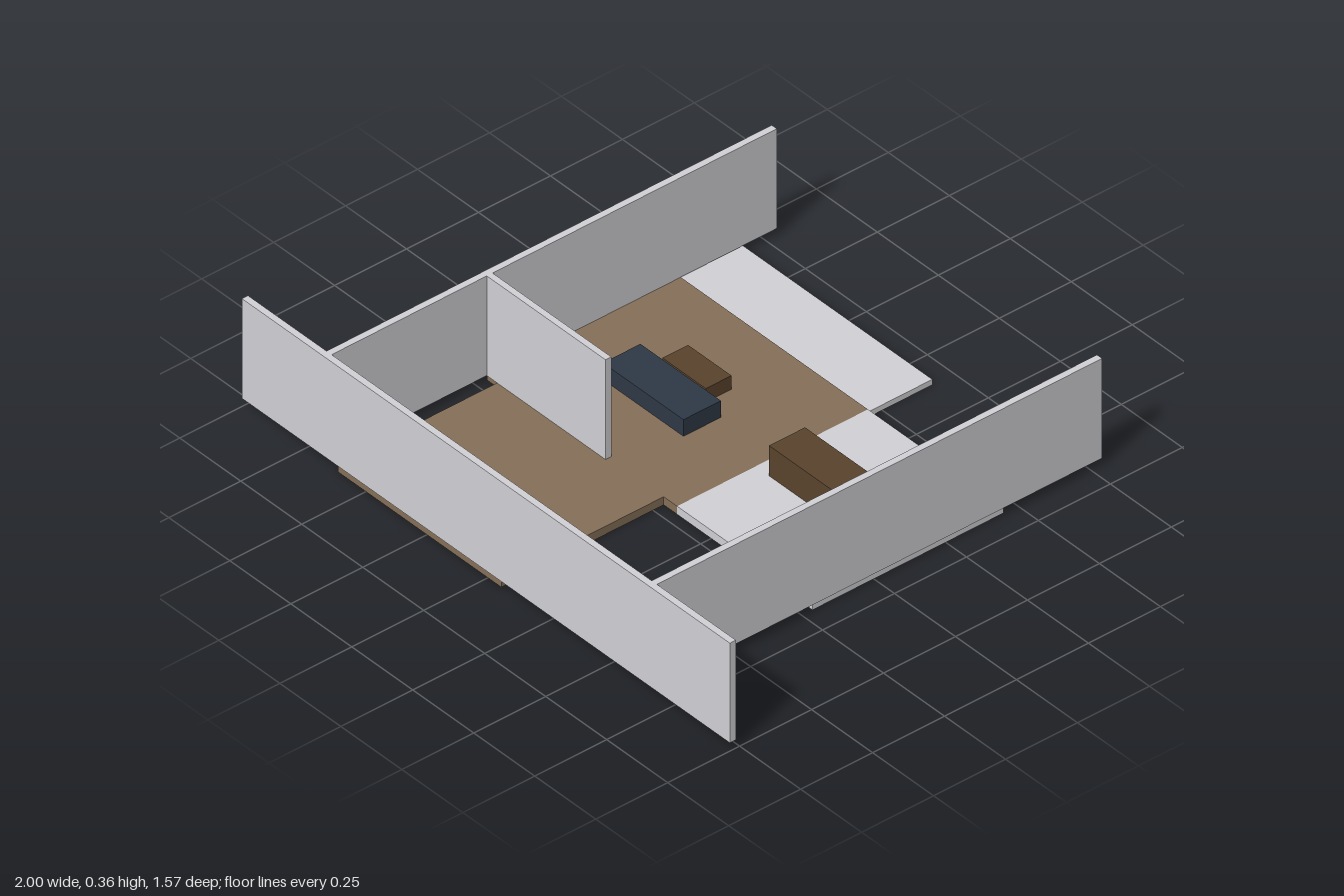
import * as THREE from 'three';

export function createModel() {
  const model = new THREE.Group();
  model.name = 'apartment';

  const mat = (name, color) => {
    const m = new THREE.MeshStandardMaterial({ color });
    m.name = name;
    return m;
  };
  const paleGrey = mat('paleGrey', 0xd3d3d8);
  const woodFloor = mat('woodFloor', 0x867059);
  const darkWood = mat('darkWood', 0x5a432d);
  const navy = mat('navy', 0x2f3947);

  // Box given by its extents on each axis
  const box = (name, material, [x0, x1], [y0, y1], [z0, z1]) => {
    const mesh = new THREE.Mesh(new THREE.BoxGeometry(x1 - x0, y1 - y0, z1 - z0), material);
    mesh.position.set((x0 + x1) / 2, (y0 + y1) / 2, (z0 + z1) / 2);
    mesh.name = name;
    model.add(mesh);
  };

  const floorTop = 0.027;
  const slab = [0, floorTop];
  const wall = [floorTop, 0.357];
  const onFloor = (height) => [floorTop, floorTop + height];

  // Floors
  box('livingRoomFloor', woodFloor, [-0.668, 0.11], slab, [-0.45, 0.213]);
  box('entranceFloor', woodFloor, [-0.615, 0.055], slab, [0.213, 0.777]);
  box('kitchenFloor', paleGrey, [0.11, 0.665], slab, [-0.45, 0.213]);
  box('balconyFloor', paleGrey, [-0.668, 0.11], [0, 0.018], [-0.674, -0.45]);

  // Walls
  box('frontWall', paleGrey, [-1, 1], wall, [0.763, 0.784]);
  box('rightWall', paleGrey, [-0.678, -0.657], wall, [-0.784, 0.763]);
  box('leftWall', paleGrey, [0.655, 0.676], wall, [-0.784, 0.763]);
  box('partitionWall', paleGrey, [-0.657, -0.17], wall, [0.204, 0.224]);

  // Furniture
  box('sofa', navy, [-0.445, -0.115], onFloor(0.055), [-0.13, 0]);
  box('coffeeTable', darkWood, [-0.37, -0.192], onFloor(0.045), [-0.232, -0.143]);
  box('counter', darkWood, [0.165, 0.498], onFloor(0.1), [-0.185, -0.06]);

  return model;
}
